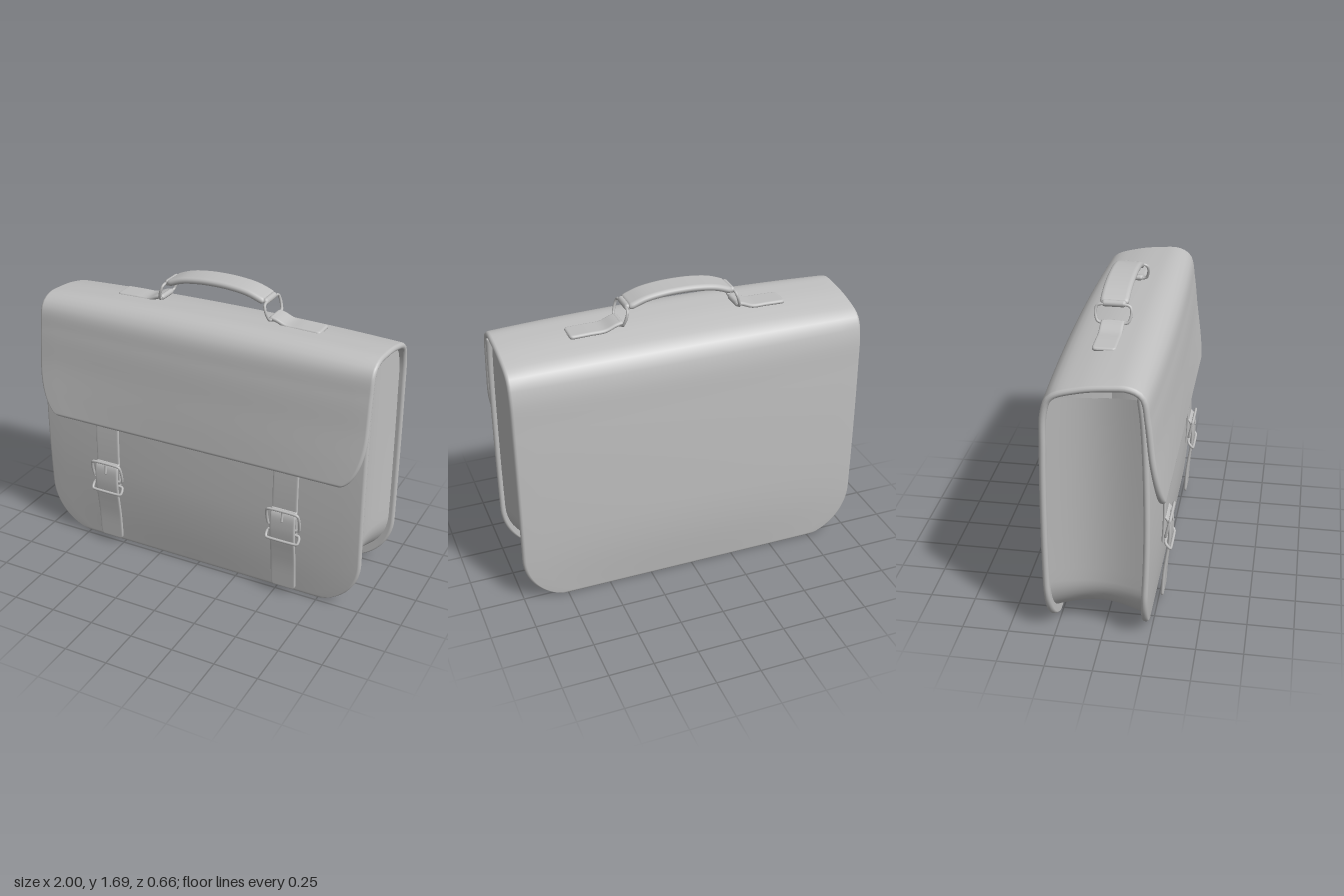
import * as THREE from 'three';

const leather = new THREE.MeshStandardMaterial({ color: 0xbfbfbf, side: THREE.DoubleSide });
leather.name = 'grey leather';

function add(parent, geometry, name) {
  const mesh = new THREE.Mesh(geometry, leather);
  mesh.name = name;
  parent.add(mesh);
  return mesh;
}

// Surface through rows of points; closed joins the last column to the first
function loft(rows, closed) {
  const n = rows[0].length, pos = rows.flat(2), index = [];
  for (let i = 0; i < rows.length - 1; i++) {
    for (let j = 0; j < (closed ? n : n - 1); j++) {
      const a = i * n + j, b = i * n + (j + 1) % n;
      index.push(a, b, a + n, b, b + n, a + n);
    }
  }
  const g = new THREE.BufferGeometry();
  g.setAttribute('position', new THREE.Float32BufferAttribute(pos, 3));
  g.setIndex(index);
  g.computeVertexNormals();
  return g;
}

// Amount cut from the width at distance d from an end, for an elliptical corner
function corner(d, [rx, ry]) {
  if (d >= ry) return 0;
  return rx * (1 - Math.sqrt(Math.max(0, 1 - (1 - d / ry) ** 2)));
}

// Thick sheet with a rounded rim, following a [z, y] profile
function sheet(profile, { width, thick, start = [0, 1], end = [0, 1], bulge = 0, steps = 80 }) {
  const curve = new THREE.CatmullRomCurve3(profile.map(([z, y]) => new THREE.Vector3(0, y, z)), false, 'centripetal');
  curve.arcLengthDivisions = 600;
  const length = curve.getLength(), rows = [], across = 20, round = 6;
  for (let i = 0; i <= steps; i++) {
    const u = (1 - Math.cos(Math.PI * i / steps)) / 2;
    const p = curve.getPointAt(u), t = curve.getTangentAt(u);
    const d0 = u * length, d1 = (1 - u) * length, d = Math.min(d0, d1);
    const w = width - corner(d0, start) - corner(d1, end);
    const h = thick / 2 * Math.max(0.02, Math.sqrt(1 - (1 - Math.min(1, 2 * d / thick)) ** 2));
    const swell = bulge * Math.sin(Math.PI / 2 * Math.min(1, d / 0.5));
    const row = [];
    const put = (x, off) => {
      const o = off + swell * (1 - (x / width) ** 2);
      row.push([x, p.y + t.z * o, p.z - t.y * o]);
    };
    const flat = w - h;
    for (let k = 0; k <= across; k++) put(flat * (2 * k / across - 1), h);
    for (let k = 1; k < round; k++) {
      const a = Math.PI * k / round;
      put(flat + h * Math.sin(a), h * Math.cos(a));
    }
    for (let k = across; k >= 0; k--) put(flat * (2 * k / across - 1), -h);
    for (let k = round - 1; k > 0; k--) {
      const a = Math.PI * k / round;
      put(-flat - h * Math.sin(a), h * Math.cos(a));
    }
    rows.push(row);
  }
  return loft(rows, true);
}

// Closed bent-wire loop
function wire(points, radius) {
  const curve = new THREE.CatmullRomCurve3(points.map(p => new THREE.Vector3(...p)), true, 'catmullrom', 0.4);
  return new THREE.TubeGeometry(curve, 64, radius, 8, true);
}

// Rounded rectangular wire frame leaning between a top and a bottom [y, z]
function frame(hw, [yt, zt], [yb, zb], radius) {
  const at = (x, f) => [x, yt + (yb - yt) * f, zt + (zb - zt) * f];
  const c = 0.02, e = 0.2;
  return wire([at(-hw + c, 0), at(hw - c, 0), at(hw, e), at(hw, 1 - e),
    at(hw - c, 1), at(-hw + c, 1), at(-hw, 1 - e), at(-hw, e)], radius);
}

// Concave U-shaped strip joining the two panels, open at the top
function gusset() {
  const rows = [], n = 16;
  for (let j = 0; j <= n; j++) {
    const t = j / n, dip = Math.sin(Math.PI * t);
    const W = 0.97 - 0.05 * dip, floor = 0.045 + 0.03 * dip, top = 1.41 - 0.03 * Math.min(1, 2 * t);
    const half = [];
    for (let k = 0; k <= 14; k++) half.push([W, top + (0.32 - top) * k / 14]);
    for (let k = 1; k <= 12; k++) {
      const a = Math.PI / 2 * k / 12;
      half.push([W - 0.27 * (1 - Math.cos(a)), 0.32 - (0.32 - floor) * Math.sin(a)]);
    }
    half.push([W / 3, floor]);
    const outline = [...half, ...half.slice().reverse().map(([x, y]) => [-x, y])];
    rows.push(outline.map(([x, y]) => {
      const s = 0.02 * Math.sin(Math.PI * Math.min(1, y / 1.45));
      const front = 0.205 + s, back = -0.27 - s / 2;
      return [x, y, front + (back - front) * t];
    }));
  }
  return loft(rows, false);
}

export function createModel() {
  const model = new THREE.Group();
  model.name = 'satchel';

  // Back panel, top and front flap in one sheet
  add(model, sheet([
    [-0.272, 0], [-0.285, 0.3], [-0.287, 0.7], [-0.28, 1.1], [-0.268, 1.32], [-0.235, 1.4],
    [-0.1, 1.448], [0.05, 1.468], [0.15, 1.468], [0.21, 1.432], [0.237, 1.3],
    [0.26, 1.1], [0.285, 0.93], [0.305, 0.795],
  ], { width: 1, thick: 0.035, start: [0.28, 0.3], end: [0.14, 0.32], bulge: 0.025, steps: 140 }), 'backAndFlap');

  // Front panel
  add(model, sheet([
    [0.2, 1.43], [0.215, 1.3], [0.23, 1], [0.235, 0.6], [0.225, 0.25], [0.213, 0],
  ], { width: 0.995, thick: 0.035, end: [0.28, 0.3], bulge: 0.03 }), 'frontPanel');

  add(model, gusset(), 'gusset');

  // Straps with buckles
  for (const side of [-1, 1]) {
    const strap = new THREE.Group();
    strap.name = side > 0 ? 'leftStrap' : 'rightStrap';
    strap.position.x = side * 0.56;
    model.add(strap);
    add(strap, sheet([[0.272, 0.88], [0.28, 0.7], [0.281, 0.55], [0.275, 0.4]],
      { width: 0.075, thick: 0.016, steps: 30 }), 'upperStrap');
    add(strap, sheet([[0.283, 0.56], [0.303, 0.53], [0.31, 0.46], [0.306, 0.38], [0.295, 0.3], [0.283, 0.2], [0.274, 0.045]],
      { width: 0.075, thick: 0.016, end: [0.025, 0.025], steps: 50 }), 'lowerStrap');
    add(strap, frame(0.095, [0.56, 0.316], [0.445, 0.29], 0.008), 'buckleFrame');
    add(strap, frame(0.095, [0.415, 0.29], [0.375, 0.32], 0.008), 'strapKeeper');
    const prong = add(strap, new THREE.CapsuleGeometry(0.007, 0.06, 4, 8), 'buckleProng');
    prong.position.set(0, 0.53, 0.316);
    prong.rotation.x = -0.15;
  }

  // Carrying handle, drawn along its own z and turned to run along x
  const handle = new THREE.Group();
  handle.name = 'handle';
  handle.position.z = -0.038;
  model.add(handle);
  add(handle, sheet([[-0.29, 1.618], [-0.2, 1.65], [-0.1, 1.665], [0, 1.669], [0.1, 1.665], [0.2, 1.65], [0.29, 1.618]],
    { width: 0.077, thick: 0.036, start: [0.01, 0.03], end: [0.01, 0.03], steps: 50 }).rotateY(Math.PI / 2), 'grip');
  for (const side of [-1, 1]) {
    const x = v => side * v;
    const sleeve = add(handle, new THREE.CapsuleGeometry(0.018, 0.095, 4, 12), 'gripEnd');
    sleeve.rotation.x = Math.PI / 2;
    sleeve.position.set(x(0.296), 1.618, 0);
    add(handle, wire([
      [x(0.305), 1.615, -0.07], [x(0.305), 1.615, 0.07], [x(0.312), 1.592, 0.094], [x(0.325), 1.55, 0.09],
      [x(0.333), 1.525, 0.065], [x(0.333), 1.525, -0.065], [x(0.325), 1.55, -0.09], [x(0.312), 1.592, -0.094],
    ], 0.008), 'handleRing');
    add(handle, sheet([[x(0.325), 1.532], [x(0.36), 1.524], [x(0.42), 1.501], [x(0.5), 1.499], [x(0.615), 1.496]],
      { width: 0.063, thick: 0.022, end: [0.02, 0.02], steps: 30 }).rotateY(Math.PI / 2), 'handleTab');
    const loop = add(handle, new THREE.CapsuleGeometry(0.016, 0.09, 4, 12), 'tabLoop');
    loop.rotation.x = Math.PI / 2;
    loop.position.set(x(0.334), 1.526, 0);
  }

  return model;
}
